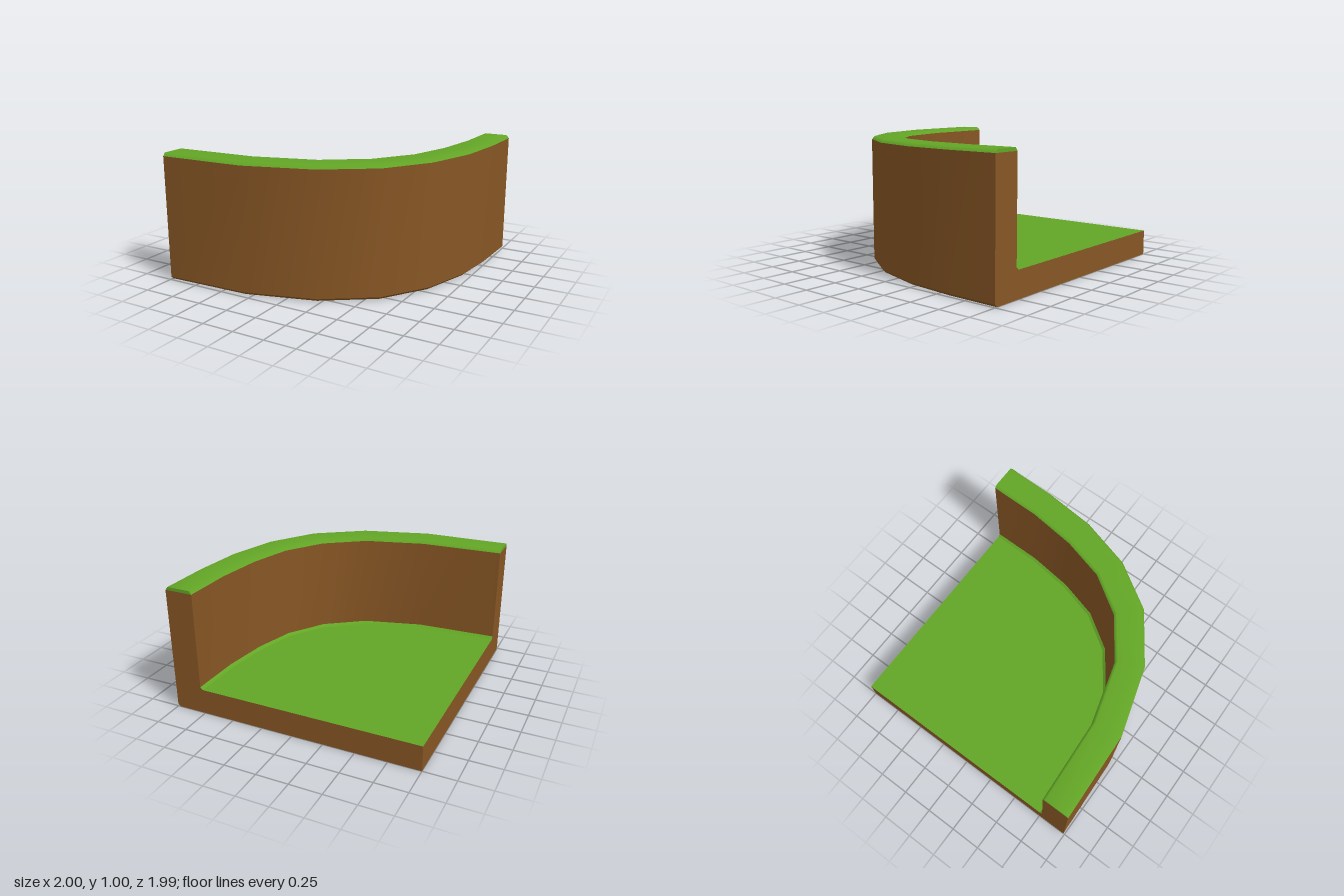
import * as THREE from 'three';

const HALF = 1, FLOOR = 0.2, RIM = 0.975, BEVEL = 0.02;
const B = 0.09; // bevel inset as a fraction of the wall thickness

// Plan curves [x, z] of the wall, from the back end to the left-hand end
const outer = [[1, -1], [0.99, -0.6], [0.95, -0.2], [0.83, 0.2], [0.6, 0.55], [0.22, 0.81], [-0.31, 0.965], [-1, 0.99]];
const inner = [[0.775, -1], [0.768, -0.6], [0.72, -0.23], [0.625, 0.1], [0.43, 0.39], [0.12, 0.61], [-0.35, 0.74], [-1, 0.775]];

// Point at station s; t runs from outer (0) to inner (1); null is the square corner
function planPoint(s, t) {
  if (t === null) return [-HALF, -HALF];
  return [0, 1].map((k) => outer[s][k] + (inner[s][k] - outer[s][k]) * t);
}

// Sweeps a section of [t, y] rows along the plan curves, with smooth normals
function sweep(rows) {
  const positions = [], index = [], n = rows.length;
  for (let s = 0; s < outer.length; s++) {
    for (const [t, y] of rows) {
      const [x, z] = planPoint(s, t);
      positions.push(x, y, z);
    }
  }
  for (let s = 0; s < outer.length - 1; s++) {
    for (let r = 0; r < n - 1; r++) {
      const a = s * n + r, b = a + 1, c = a + n, d = c + 1;
      index.push(a, b, c, b, d, c);
    }
  }
  const geometry = new THREE.BufferGeometry();
  geometry.setAttribute('position', new THREE.Float32BufferAttribute(positions, 3));
  geometry.setIndex(index);
  geometry.computeVertexNormals();
  return geometry;
}

// Flat cut face on the back (z = -1) or on the right side (x = -1)
function cutFace(rows, back) {
  const s = back ? 0 : outer.length - 1;
  const points = rows.map(([t, y]) => {
    const [x, z] = planPoint(s, t);
    return new THREE.Vector2(back ? -x : z, y);
  });
  const geometry = new THREE.ShapeGeometry(new THREE.Shape(points));
  geometry.rotateY(back ? Math.PI : -Math.PI / 2);
  return back ? geometry.translate(0, 0, -HALF) : geometry.translate(-HALF, 0, 0);
}

export function createModel() {
  const group = new THREE.Group();
  const earth = new THREE.MeshStandardMaterial({ color: 0x875624 });
  earth.name = 'earth brown';
  const grass = new THREE.MeshStandardMaterial({ color: 0x63a626 });
  grass.name = 'grass green';

  const add = (name, geometry, material) => {
    const mesh = new THREE.Mesh(geometry, material);
    mesh.name = name;
    group.add(mesh);
  };

  // Section corners shared by the swept parts and the cut faces
  const foot = [[B, 0], [0, BEVEL]];
  const rim = [[0, RIM], [B, 1], [1 - B, 1], [1, RIM]];
  const innerFoot = [[1, FLOOR + BEVEL], [1 + B, FLOOR]];

  // Base and wall
  add('underside', sweep([[null, 0], foot[0]]), earth);
  add('bottomBevel', sweep(foot), earth);
  add('outerWall', sweep([foot[1], rim[0]]), earth);
  add('innerWall', sweep([rim[3], innerFoot[0]]), earth);

  // Grass on the rim and the floor
  add('grassRim', sweep(rim), grass);
  add('floorEdge', sweep(innerFoot), grass);
  add('grassFloor', sweep([innerFoot[1], [null, FLOOR]]), grass);

  // Straight cut faces with a grass strip on top
  const section = [[null, 0], ...foot, rim[0], rim[3], ...innerFoot, [null, FLOOR]];
  for (const back of [true, false]) {
    const side = back ? 'back' : 'right';
    add(side + 'CutFace', cutFace(section, back), earth);
    add(side + 'RimEnd', cutFace(rim, back), grass);
  }
  return group;
}
